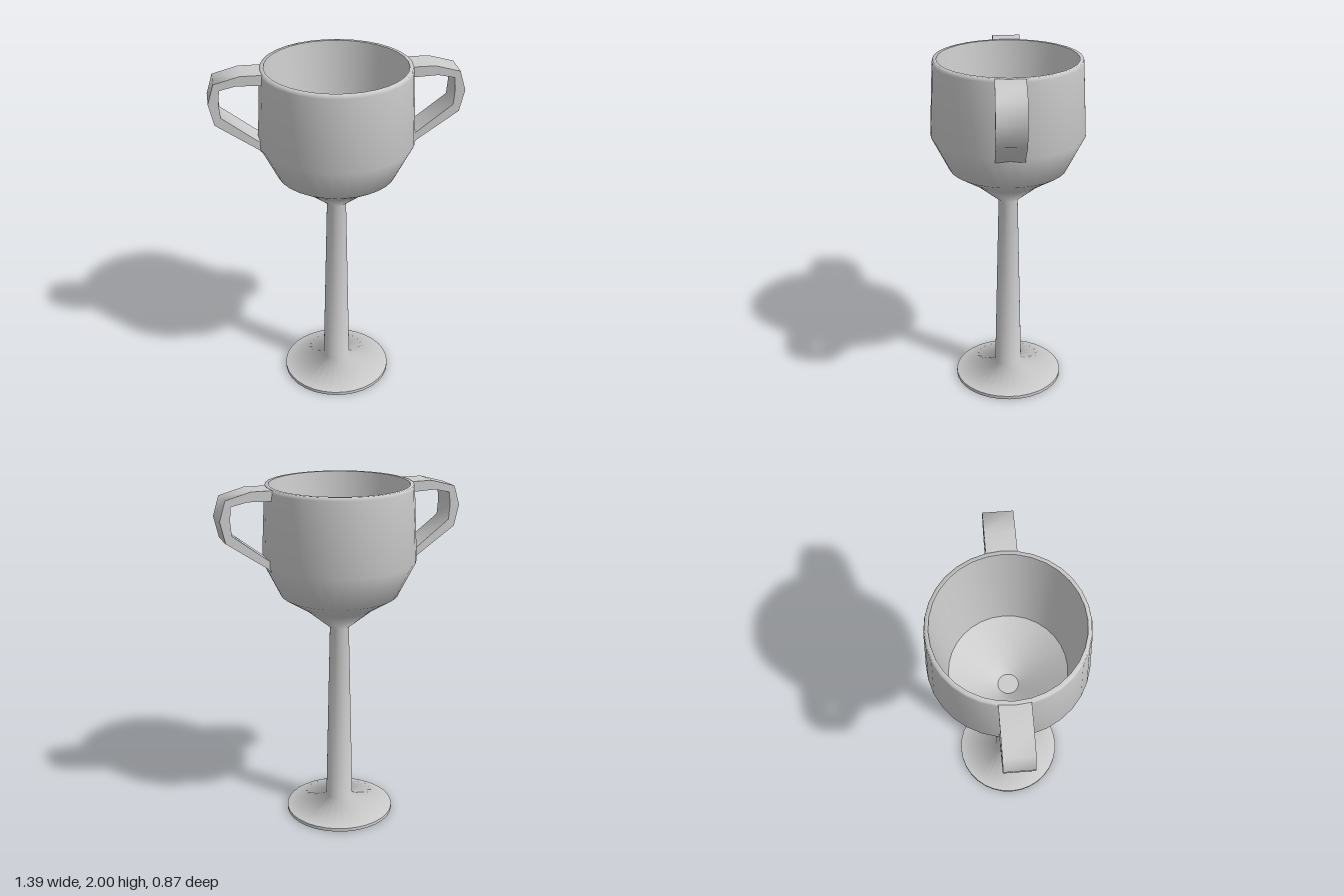
import * as THREE from 'three';
import { toCreasedNormals } from 'three/addons/utils/BufferGeometryUtils.js';

const SEGMENTS = 32;
const material = new THREE.MeshStandardMaterial({ color: 0xcccccc });
const toPoints = (list) => list.map(([x, y]) => new THREE.Vector2(x, y));

function addMesh(parent, name, geometry) {
  const mesh = new THREE.Mesh(geometry, material);
  mesh.name = name;
  parent.add(mesh);
  return mesh;
}

// Turned part; profile is [radius, height], bottom to top on outer faces
const turned = (profile) => new THREE.LatheGeometry(toPoints(profile), SEGMENTS);

// Angular ribbon handle, drawn on the +x side and extruded across z
function handleGeometry() {
  const shape = new THREE.Shape(toPoints([
    // inner edge, from foot to top
    [0.415, 1.61], [0.44, 1.625], [0.63, 1.77], [0.637, 1.85], [0.63, 1.925], [0.54, 1.945], [0.40, 1.94],
    // outer edge, from top to foot
    [0.40, 1.998], [0.52, 1.998], [0.66, 1.96], [0.693, 1.85], [0.665, 1.73], [0.44, 1.575], [0.415, 1.55],
  ]));
  const geometry = new THREE.ExtrudeGeometry(shape, { depth: 0.16, bevelEnabled: false });
  geometry.translate(0, 0, -0.08);
  return toCreasedNormals(geometry, 1.1);
}

export function createModel() {
  const cup = new THREE.Group();
  cup.name = 'twoHandledCup';

  // Foot disc with a sharp rim
  addMesh(cup, 'footRim', toCreasedNormals(turned([[0, 0], [0.32, 0], [0.32, 0.02]]), 0.6));

  // Smooth outside: foot slope, tapering stem and bowl
  addMesh(cup, 'outerBody', turned([
    [0.32, 0.02], [0.08, 0.085], [0.055, 1.17], [0.2, 1.29],
    [0.335, 1.375], [0.435, 1.575], [0.414, 1.98], [0.41, 2], [0.39, 2],
  ]));

  // Hollow inside: steep wall, sloped bottom and small flat floor
  addMesh(cup, 'bowlInside', toCreasedNormals(turned([
    [0.39, 2], [0.325, 1.41], [0.058, 1.2], [0, 1.2],
  ]), 0.5));

  // Handles on both sides
  const geometry = handleGeometry();
  addMesh(cup, 'leftHandle', geometry);
  addMesh(cup, 'rightHandle', geometry).rotation.y = Math.PI;

  return cup;
}
